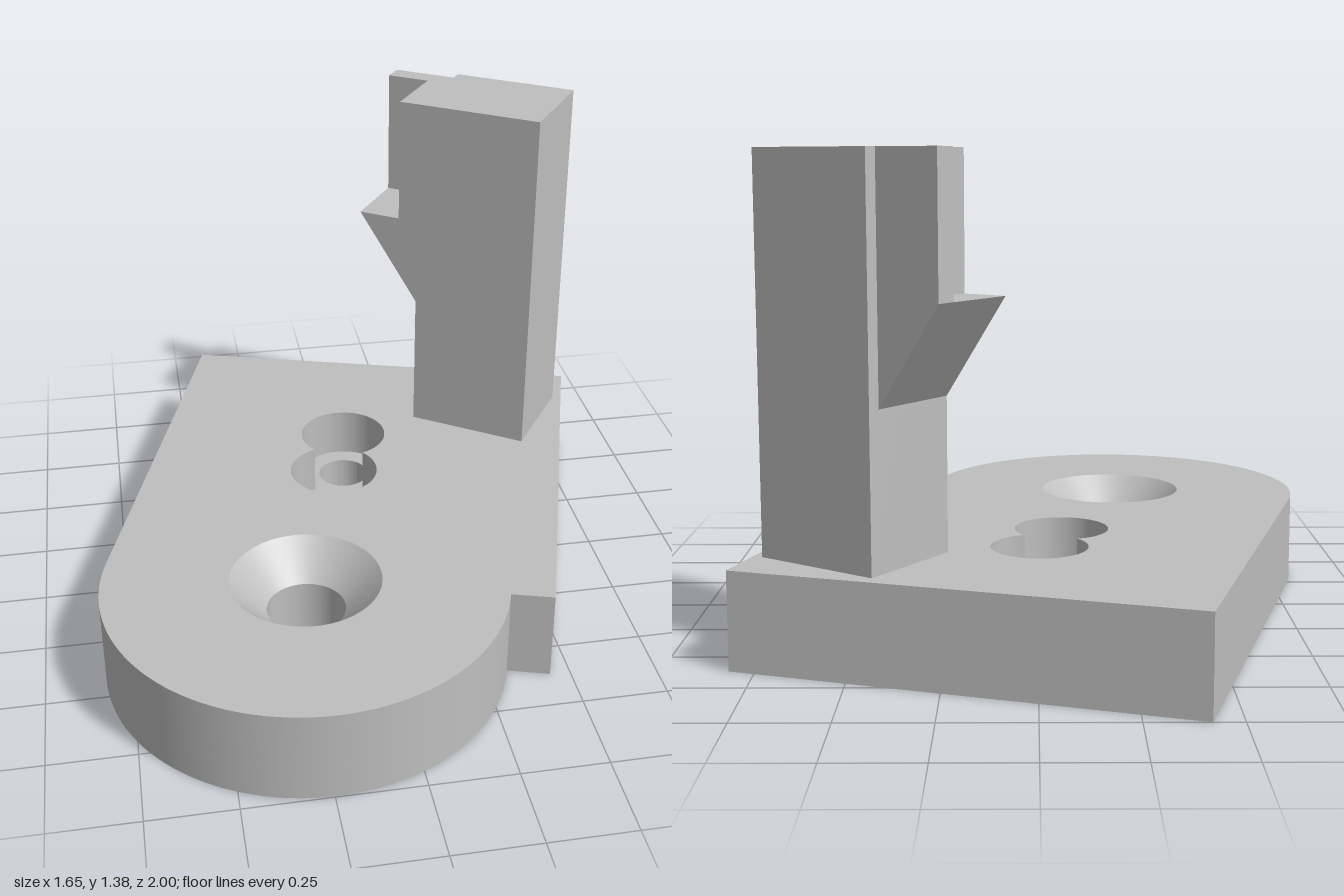
import * as THREE from 'three';
import { toCreasedNormals } from 'three/addons/utils/BufferGeometryUtils.js';

const BASE_H = 0.275;   // plate thickness
const FLOOR = 0.12;     // height of the counterbore floor
const BORE = { x: -0.24, y: -0.41, r: 0.115, sinkR: 0.22, sinkY: 0.17 };
const PINS = [[-0.005, 0.365], [-0.07, 0.15]];

function circle(x, y, r) {
  return new THREE.Path().absarc(x, y, r, 0, Math.PI * 2, false);
}

// Plan of the plate, drawn with shape y pointing to the back
function plateShape(holes) {
  const s = new THREE.Shape();
  const tilt = 0.297;
  s.moveTo(-0.42, 1);
  s.lineTo(0.82, 0.62);
  s.lineTo(0.44, -0.62);
  s.lineTo(0.32, -0.583);
  s.absarc(BORE.x, BORE.y, 0.587, -tilt, Math.PI - tilt, true);
  s.closePath();
  s.holes.push(...holes);
  return s;
}

// Two overlapping circles joined into one outline
function doubleCounterbore(r) {
  const [[px, py], [qx, qy]] = PINS;
  const dir = Math.atan2(qy - py, qx - px);
  const half = Math.acos(Math.hypot(qx - px, qy - py) / 2 / r);
  const turn = Math.PI * 2;
  const p = new THREE.Path();
  p.absarc(px, py, r, dir + half, dir - half + turn, false);
  p.absarc(qx, qy, r, dir + Math.PI + half, dir + Math.PI - half + turn, false);
  return p;
}

export function createModel() {
  const model = new THREE.Group();
  model.name = 'clipBracket';
  const grey = new THREE.MeshStandardMaterial({ color: 0xbfbfbf });
  grey.name = 'grey';

  const add = (parent, name, geometry) => {
    const mesh = new THREE.Mesh(geometry, grey);
    mesh.name = name;
    parent.add(mesh);
    return mesh;
  };

  // Base plate in two layers, so the counterbore has a floor
  const base = new THREE.Group();
  base.name = 'basePlate';
  model.add(base);
  const slab = (name, holes, y0, y1) => {
    const g = new THREE.ExtrudeGeometry(plateShape(holes), {
      depth: y1 - y0, bevelEnabled: false, curveSegments: 64,
    });
    g.rotateX(-Math.PI / 2);
    g.translate(0, y0, 0);
    add(base, name, toCreasedNormals(g, 0.4));
  };
  slab('lowerPlate', [
    circle(BORE.x, BORE.y, BORE.r),
    ...PINS.map(([x, y]) => circle(x, y, 0.08)),
  ], 0, FLOOR);
  slab('upperPlate', [
    circle(BORE.x, BORE.y, BORE.sinkR),
    doubleCounterbore(0.137),
  ], FLOOR, BASE_H);

  // Countersunk screw hole, profiles run downward so the faces look inward
  const lathe = (name, points) => {
    const g = new THREE.LatheGeometry(points.map(p => new THREE.Vector2(...p)), 128);
    add(base, name, g).position.set(BORE.x, 0, -BORE.y);
  };
  lathe('countersink', [[BORE.sinkR, BASE_H], [BORE.r, BORE.sinkY]]);
  lathe('screwHoleWall', [[BORE.r, BORE.sinkY], [BORE.r, FLOOR]]);

  // Upright clip: side profiles extruded across its width
  const clip = new THREE.Group();
  clip.name = 'clip';
  clip.position.set(0.566, 0, -0.214);
  clip.rotation.y = -0.598;
  model.add(clip);
  const TOP = 1.375, BACK = -0.386, TIP = -0.582, LIP = -0.449;
  const profile = (name, points, v0, v1) => {
    const shape = new THREE.Shape(points.map(p => new THREE.Vector2(...p)));
    const g = new THREE.ExtrudeGeometry(shape, { depth: v1 - v0, bevelEnabled: false });
    add(clip, name, g).position.z = -v1;
  };
  profile('post', [[0, BASE_H], [0, TOP], [BACK, TOP], [BACK, BASE_H]], 0, 0.324);
  profile('hook', [[BACK, 0.71], [BACK, TOP], [LIP, TOP], [LIP, 0.99], [TIP, 0.99]], 0, 0.223);
  profile('sideRail', [[BACK, 0.71], [BACK, TOP], [TIP, TOP], [TIP, 0.99]], 0.223, 0.286);

  return model;
}
